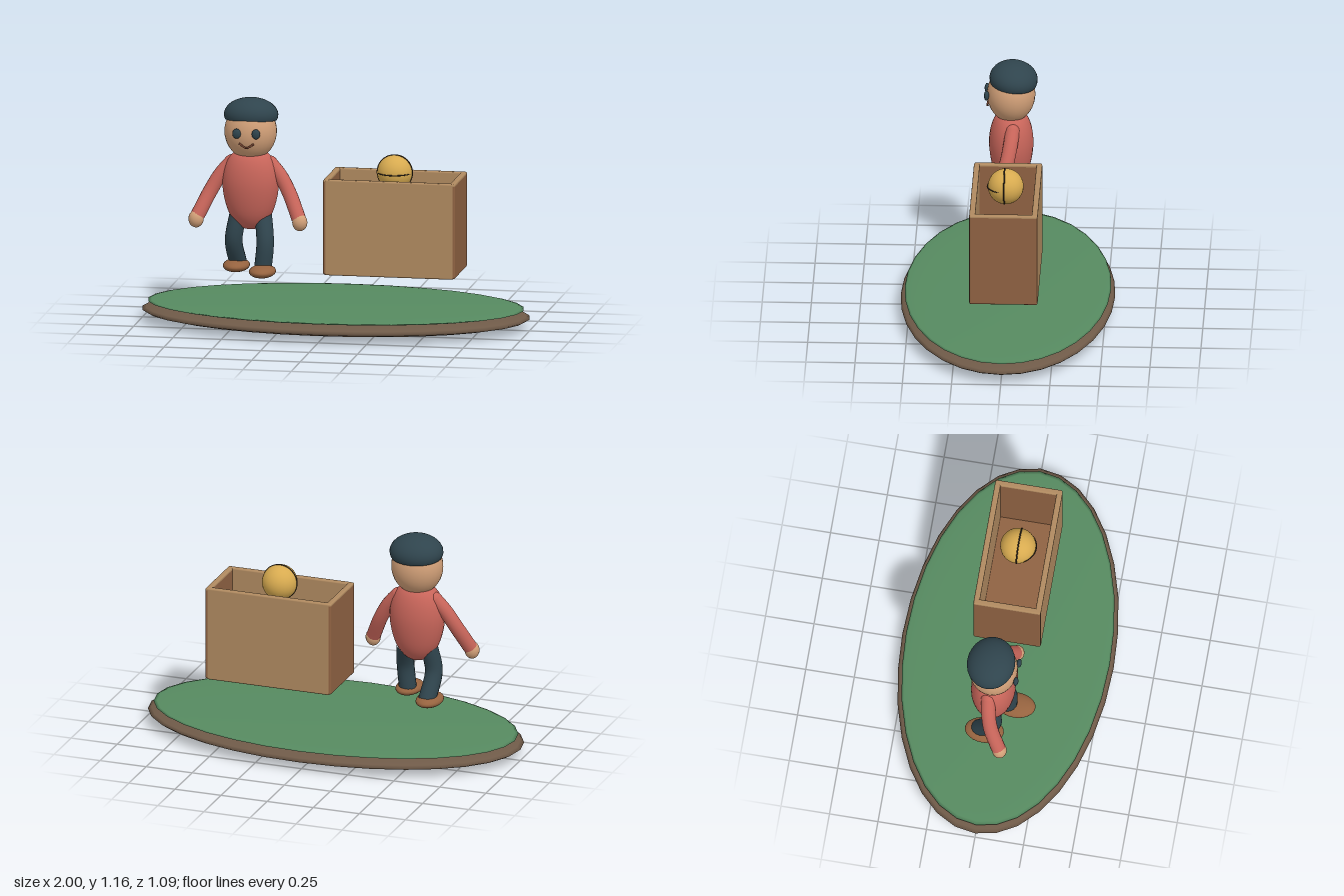
import * as THREE from 'three';
import { RoundedBoxGeometry } from 'three/addons/geometries/RoundedBoxGeometry.js';

const mat = (color, side = THREE.FrontSide) => new THREE.MeshStandardMaterial({ color, side });

const M = {
  earth: mat(0x6f5a48), grass: mat(0x568a60), skin: mat(0xd2a078), shirt: mat(0xc8655a),
  navy: mat(0x2f444d), cap: mat(0x2f444d, THREE.DoubleSide), shoe: mat(0x96633f),
  panel: mat(0xb08a60), endPanel: mat(0x8f6242), gold: mat(0xd8ab50), seam: mat(0x33291f),
  mouth: mat(0x7a4632),
};

function add(parent, name, geometry, material, x = 0, y = 0, z = 0) {
  const mesh = new THREE.Mesh(geometry, material);
  mesh.name = name;
  mesh.position.set(x, y, z);
  parent.add(mesh);
  return mesh;
}

function ellipsoid(rx, ry, rz, w = 28, h = 20) {
  return new THREE.SphereGeometry(1, w, h).scale(rx, ry, rz);
}

function limb(points, radius, sides = 16) {
  const curve = new THREE.CatmullRomCurve3(points.map((p) => new THREE.Vector3(...p)));
  return new THREE.TubeGeometry(curve, 16, radius, sides);
}

// Flat oval island with a grass layer
function createIsland() {
  const g = new THREE.Group();
  g.name = 'island';
  add(g, 'earth', ellipsoid(1, 0.058, 0.545, 32, 16), M.earth, 0, 0.058, 0);
  add(g, 'grass', ellipsoid(0.97, 0.019, 0.525, 32, 16), M.grass, 0, 0.102, 0);
  return g;
}

// Open crate made of rounded boards
function createCrate() {
  const g = new THREE.Group();
  g.name = 'crate';
  g.position.set(0.305, 0.532, 0);
  const board = (w, h, d) => new RoundedBoxGeometry(w, h, d, 2, 0.008);
  for (const s of [-1, 1]) {
    add(g, s > 0 ? 'frontPanel' : 'backPanel', board(0.665, 0.495, 0.03), M.panel, 0, 0, s * 0.159);
    add(g, s > 0 ? 'leftPanel' : 'rightPanel', board(0.03, 0.488, 0.345), M.endPanel, s * 0.326, 0, 0);
    // Top rim of the end boards
    add(g, 'rim', board(0.03, 0.02, 0.345), M.panel, s * 0.326, 0.2375, 0);
  }
  add(g, 'floor', board(0.64, 0.03, 0.31), M.endPanel, 0, -0.23, 0);
  return g;
}

// Ball with two seams
function createBall() {
  const g = new THREE.Group();
  g.name = 'ball';
  g.position.set(0.305, 0.797, 0);
  add(g, 'ballBody', ellipsoid(0.091, 0.091, 0.091), M.gold);
  add(g, 'uprightSeam', new THREE.TorusGeometry(0.09, 0.004, 8, 40), M.seam, 0, 0, 0.006);
  const level = add(g, 'levelSeam', new THREE.TorusGeometry(0.09, 0.003, 8, 40), M.seam, 0, 0, 0.004);
  level.rotation.x = Math.PI / 2;
  level.scale.x = 0.96;
  return g;
}

// Walking figure
function createFigure() {
  const g = new THREE.Group();
  g.name = 'figure';
  g.position.x = -0.441;

  // Torso
  const profile = [
    [0, 0.475], [0.045, 0.485], [0.085, 0.52], [0.115, 0.57], [0.136, 0.64], [0.145, 0.71],
    [0.14, 0.77], [0.125, 0.82], [0.1, 0.86], [0.06, 0.885], [0, 0.89],
  ].map(([r, y]) => new THREE.Vector2(r, y));
  const torso = new THREE.LatheGeometry(new THREE.SplineCurve(profile).getPoints(24), 28);
  torso.scale(1, 1, 0.78);
  add(g, 'torso', torso, M.shirt);

  // Head and face
  add(g, 'head', ellipsoid(0.134, 0.147, 0.123), M.skin, 0, 0.985, 0);
  const dome = new THREE.SphereGeometry(1, 28, 16, 0, Math.PI * 2, 0, Math.PI * 0.6);
  const cap = add(g, 'cap', dome.scale(0.139, 0.088, 0.123), M.cap, 0, 1.068, -0.012);
  cap.rotation.x = -0.1;
  add(g, 'mouth', limb([[-0.038, 0.94, 0.114], [0, 0.919, 0.122], [0.038, 0.94, 0.114]], 0.005, 8), M.mouth);

  for (const s of [-1, 1]) {
    const side = s > 0 ? 'left' : 'right';
    add(g, side + 'Eye', ellipsoid(0.022, 0.026, 0.013, 16, 12), M.navy, s * 0.05, 0.992, 0.124);

    // Arms hang outwards and a little forward
    const arm = [[s * 0.1, 0.82, -0.01], [s * 0.155, 0.755, 0], [s * 0.205, 0.67, 0.02], [s * 0.262, 0.55, 0.07]];
    add(g, side + 'Arm', limb(arm, 0.037), M.shirt);
    add(g, side + 'Shoulder', ellipsoid(0.037, 0.037, 0.037, 16, 12), M.shirt, s * 0.1, 0.82, -0.01);
    add(g, side + 'Hand', ellipsoid(0.039, 0.045, 0.037, 18, 14), M.skin, s * 0.268, 0.535, 0.077);

    // Left leg steps forward, right leg trails
    const knee = s > 0 ? 0.06 : 0.01;
    const ankle = s > 0 ? 0.065 : -0.06;
    const leg = [[s * 0.065, 0.55, 0], [s * 0.086, 0.42, knee], [s * 0.075, 0.285, ankle]];
    add(g, side + 'Leg', limb(leg, 0.045), M.navy);
    add(g, side + 'Shoe', ellipsoid(0.068, 0.032, 0.1, 24, 16), M.shoe, s * 0.08, 0.28, s > 0 ? 0.103 : -0.033);
  }
  return g;
}

export function createModel() {
  const model = new THREE.Group();
  model.name = 'islandScene';
  model.add(createIsland(), createCrate(), createBall(), createFigure());
  return model;
}
